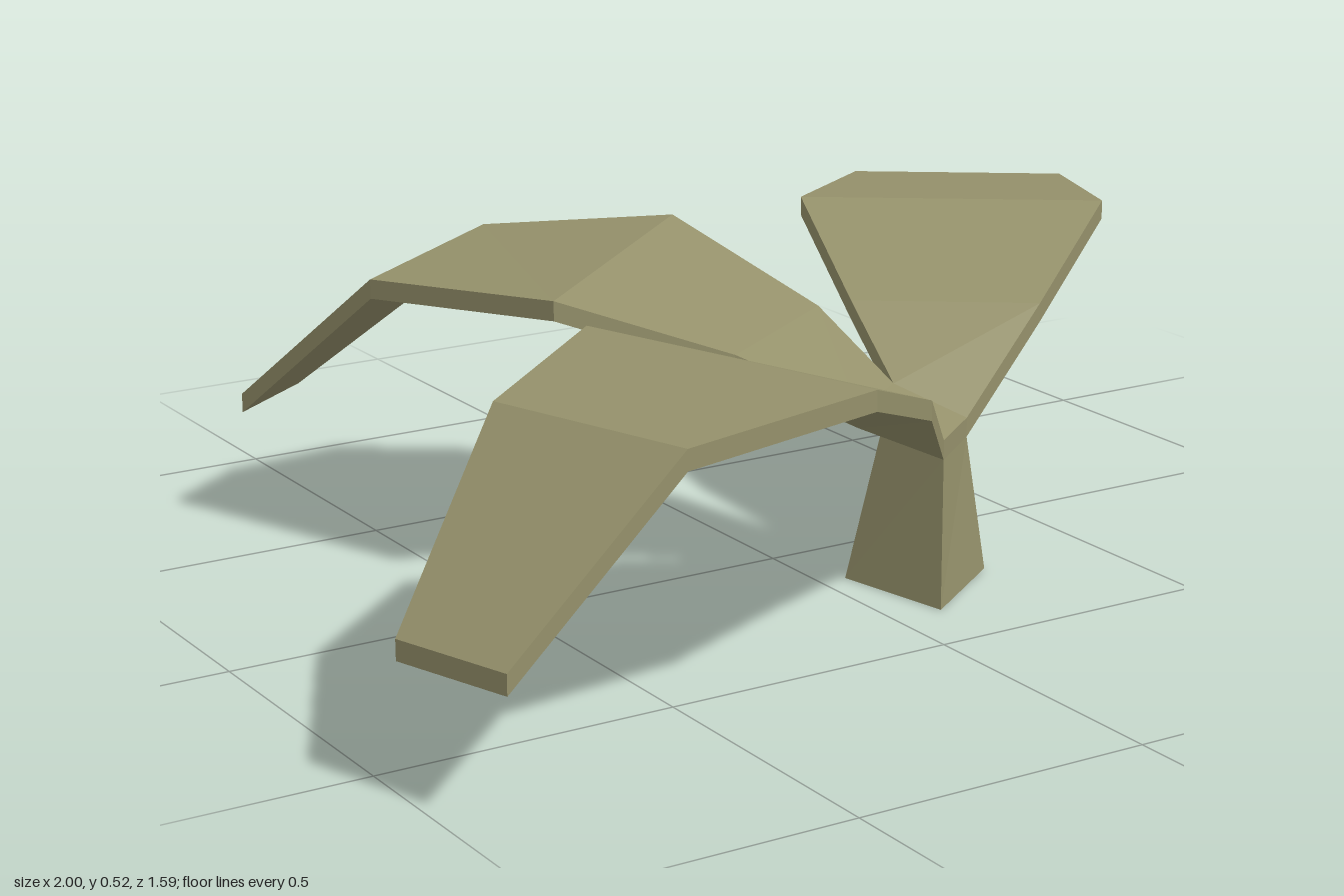
import * as THREE from 'three';

const olive = new THREE.MeshStandardMaterial({ color: 0x95916b });
olive.name = 'dryOlive';

// Skin a list of matching rings (arrays of [x, y, z]) into a closed, hard-edged solid.
function loft(name, rings) {
  const pos = [];
  const fan = (pts) => {
    for (let k = 1; k < pts.length - 1; k++) pos.push(...pts[0], ...pts[k], ...pts[k + 1]);
  };
  const n = rings[0].length;
  for (let i = 0; i < rings.length - 1; i++) {
    for (let j = 0; j < n; j++) {
      const k = (j + 1) % n;
      fan([rings[i][j], rings[i][k], rings[i + 1][k], rings[i + 1][j]]);
    }
  }
  fan([...rings[0]].reverse());
  fan(rings[rings.length - 1]);
  const g = new THREE.BufferGeometry();
  g.setAttribute('position', new THREE.Float32BufferAttribute(pos, 3));
  g.computeVertexNormals();
  const mesh = new THREE.Mesh(g, olive);
  mesh.name = name;
  return mesh;
}

// Cross-section of a slab from its upper left and upper right corners.
const THICK = 0.033;
const slab = (l, r) => {
  const down = ([x, y, z]) => [x, y - THICK, z];
  return [l, r, down(r), down(l)];
};

// Shared corners where the leaves meet above the stem.
const frontLeft = [0.12, 0.273, 0.325];
const frontRight = [0.227, 0.273, 0.24];
const backLeft = [0.025, 0.315, 0.217];
const backRight = [0.158, 0.315, 0.126];

// Heights of the four outer rows of every leaf, from the hub to the tip.
const HEIGHTS = [0.412, 0.52, 0.493, 0.235];

// Each leaf: root corners, then rows of [leftX, leftZ, rightX, rightZ].
const LEAVES = [
  ['frontLeaf', frontLeft, backLeft, [
    [-0.04, 0.515, -0.15, 0.193], [-0.29, 0.73, -0.465, 0.193],
    [-0.625, 0.755, -0.74, 0.4], [-0.935, 0.79, -1, 0.585]]],
  ['backRightLeaf', backLeft, backRight, [
    [-0.155, 0.13, 0.13, -0.06], [-0.435, 0.035, 0.035, -0.38],
    [-0.57, -0.345, -0.225, -0.595], [-0.67, -0.66, -0.51, -0.775]]],
  ['backLeftLeaf', backRight, frontRight, [
    [0.197, -0.06, 0.457, 0.13], [0.3, -0.375, 0.735, -0.06],
    [0.57, -0.6, 0.88, -0.375], [0.825, -0.795, 1, -0.67]]],
];

export function createModel() {
  const model = new THREE.Group();
  model.name = 'threeLeafPlant';

  // Tapered three-sided stem
  model.add(loft('stem', [
    [[0.09, 0, 0.365], [0.272, 0, 0.235], [0.047, 0, 0.15]],
    [[0.12, 0.24, 0.325], [0.227, 0.24, 0.24], [0.093, 0.27, 0.19]],
  ]));

  // Sloping cap joining the leaves
  model.add(loft('hub', [slab(frontLeft, frontRight), slab(backLeft, backRight)]));

  // Arched, drooping leaves
  for (const [name, l, r, rows] of LEAVES) {
    model.add(loft(name, [
      slab(l, r),
      ...rows.map(([lx, lz, rx, rz], i) => slab([lx, HEIGHTS[i], lz], [rx, HEIGHTS[i], rz])),
    ]));
  }
  return model;
}
